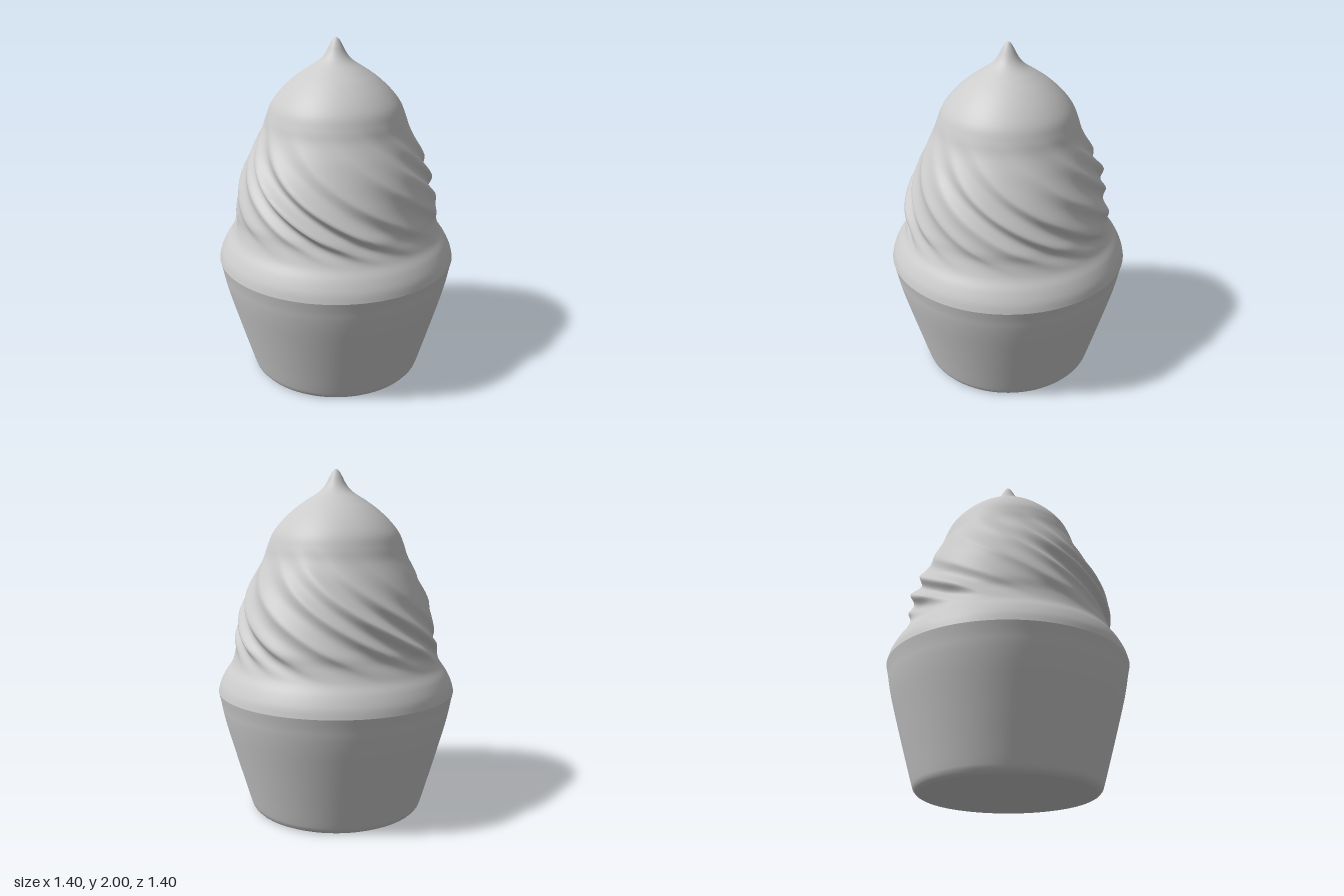
import * as THREE from 'three';
import { mergeVertices } from 'three/addons/utils/BufferGeometryUtils.js';

const material = new THREE.MeshStandardMaterial({ color: 0xcccccc, roughness: 0.8 });
const SEGMENTS = 160;

// Smooth lathe through a few [radius, height] points; displace(angle, y) adds to the radius
function lathe(name, profile, steps, displace) {
  const curve = new THREE.SplineCurve(profile.map(([r, y]) => new THREE.Vector2(r, y)));
  const points = curve.getSpacedPoints(steps).map((p) => new THREE.Vector2(Math.max(p.x, 0), p.y));
  let geometry = new THREE.LatheGeometry(points, SEGMENTS);
  geometry.deleteAttribute('uv');
  geometry.deleteAttribute('normal');
  geometry = mergeVertices(geometry, 1e-5); // weld the seam so shading stays smooth
  if (displace) {
    const pos = geometry.attributes.position;
    for (let i = 0; i < pos.count; i++) {
      const x = pos.getX(i), y = pos.getY(i), z = pos.getZ(i);
      const r = Math.hypot(x, z);
      if (r < 1e-4) continue;
      const scale = 1 + displace(Math.atan2(x, z), y) / r;
      pos.setXYZ(i, x * scale, y, z * scale);
    }
  }
  geometry.computeVertexNormals();
  const mesh = new THREE.Mesh(geometry, material);
  mesh.name = name;
  return mesh;
}

// Uneven spiral folds that fade out at the collar and the crown
function swirl(angle, y) {
  const fade = THREE.MathUtils.smoothstep(y, 0.88, 1.06) * (1 - THREE.MathUtils.smoothstep(y, 1.18, 1.6));
  const a = angle + 3.4 * (y - 1) - 1.3 * (y - 1) ** 2; // flatter low down, steeper higher up
  const fold = 1 - 2 * Math.abs(Math.sin(7 * a + 0.5 * Math.sin(3 * a))) ** 1.5;
  const depth = 0.016 + 0.005 * Math.sin(2 * a + 1);
  return fade * (depth * fold + 0.008 * Math.sin(11 * a + 2) + 0.006 * Math.sin(5 * a));
}

export function createModel() {
  const model = new THREE.Group();
  model.name = 'cupcake';

  // Tapered cup with a rounded foot
  model.add(lathe('cup', [
    [0.485, 0], [0.508, 0.015], [0.522, 0.05], [0.56, 0.18], [0.6, 0.32],
    [0.65, 0.5], [0.674, 0.6], [0.685, 0.66], [0.698, 0.72],
  ], 40));

  // Flat underside
  const base = new THREE.Mesh(new THREE.CircleGeometry(0.485, SEGMENTS), material);
  base.rotation.x = Math.PI / 2;
  base.name = 'cupBase';
  model.add(base);

  // Swirled topping with a drawn-out tip
  model.add(lathe('swirledTopping', [
    [0.698, 0.72], [0.685, 0.77], [0.655, 0.83], [0.615, 0.89], [0.592, 0.96], [0.587, 1.03],
    [0.57, 1.12], [0.55, 1.2], [0.515, 1.3], [0.47, 1.4], [0.42, 1.5], [0.395, 1.57],
    [0.365, 1.64], [0.31, 1.71], [0.24, 1.775], [0.17, 1.825], [0.1, 1.87],
    [0.062, 1.91], [0.032, 1.965], [0.014, 1.993], [0, 2],
  ], 120, swirl));

  return model;
}
